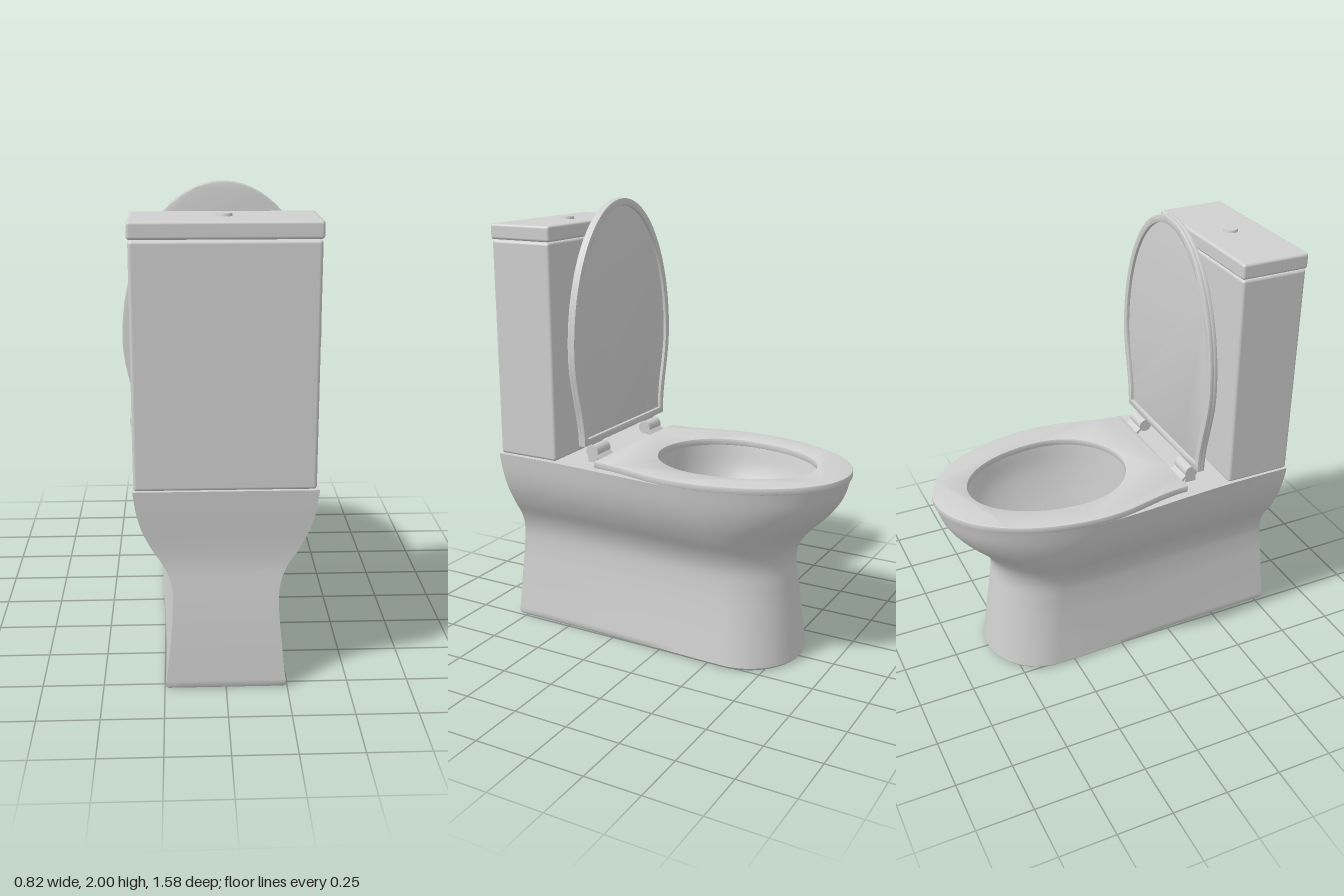
import * as THREE from 'three';
import { toCreasedNormals } from 'three/addons/utils/BufferGeometryUtils.js';
import { RoundedBoxGeometry } from 'three/addons/geometries/RoundedBoxGeometry.js';

const V = (x, z) => new THREE.Vector2(x, z);

// Plan outline in x/z: flat back, sides swelling to wm at zc, rounded nose at zf.
function planOutline(wb, wm, zb, zc, zf, ease = 1.4) {
  const half = [];
  for (let i = 1; i <= 4; i++) half.push(V(wb * i / 4, zb));
  for (let i = 1; i <= 14; i++) {
    const t = i / 14;
    const s = (1 - Math.cos(Math.PI * Math.pow(t, ease))) / 2;
    half.push(V(wb + (wm - wb) * s, zb + (zc - zb) * t));
  }
  for (let i = 1; i < 20; i++) {
    const a = i / 20 * Math.PI / 2;
    half.push(V(wm * Math.cos(a), zc + (zf - zc) * Math.sin(a)));
  }
  const mirrored = half.map(p => V(-p.x, p.y)).reverse();
  return [V(0, zb), ...half, V(0, zf), ...mirrored];
}

// Egg-shaped ring in x/z, widest at zc.
function eggOutline(rx, zc, zb, zf) {
  const pts = [];
  for (let i = 0; i < 56; i++) {
    const a = i / 56 * Math.PI * 2, c = Math.cos(a);
    pts.push(V(rx * Math.sin(a), zc + c * (c > 0 ? zb - zc : zc - zf)));
  }
  return pts;
}

// Smoothly interpolated rows of [y, ...outline parameters].
function smoothRows(rows, steps, outline) {
  const f = new THREE.CubicInterpolant(rows.map(r => r[0]), rows.flatMap(r => r.slice(1)), rows[0].length - 1);
  const y0 = rows[0][0], y1 = rows[rows.length - 1][0];
  return Array.from({ length: steps + 1 }, (_, i) => {
    const y = y0 + (y1 - y0) * i / steps;
    return { y, pts: outline(...f.evaluate(y)) };
  });
}

// Skin between stacked rings.
function loft(rings, crease) {
  const pos = [], idx = [], n = rings[0].pts.length;
  for (const r of rings) for (const p of r.pts) pos.push(p.x, r.y, p.y);
  for (let r = 0; r < rings.length - 1; r++) {
    for (let i = 0; i < n; i++) {
      const a = r * n + i, b = r * n + (i + 1) % n;
      idx.push(a, b, b + n, a, b + n, a + n);
    }
  }
  const g = new THREE.BufferGeometry();
  g.setAttribute('position', new THREE.Float32BufferAttribute(pos, 3));
  g.setIndex(idx);
  return toCreasedNormals(g, crease);
}

function shapeOf(pts, hole) {
  const s = new THREE.Shape(pts);
  if (hole) s.holes.push(new THREE.Path(hole));
  return s;
}

// Plate with softly bevelled edges, total thickness t, starting at z = 0.
function plate(shape, t, bevel = 0.005) {
  const g = new THREE.ExtrudeGeometry(shape, {
    depth: t - 2 * bevel, bevelEnabled: true, bevelThickness: bevel,
    bevelSize: bevel, bevelOffset: -bevel, bevelSegments: 2
  });
  g.translate(0, 0, bevel);
  return toCreasedNormals(g, 0.6);
}

export function createModel() {
  const model = new THREE.Group();
  model.name = 'toilet';
  const ceramic = new THREE.MeshStandardMaterial({ color: 0xd0d0d0 });
  ceramic.name = 'light grey ceramic';
  const add = (name, geo, x = 0, y = 0, z = 0) => {
    const m = new THREE.Mesh(geo, ceramic);
    m.name = name;
    m.position.set(x, y, z);
    model.add(m);
    return m;
  };
  const flipZ = pts => pts.map(p => V(p.x, -p.y));

  // Pedestal and bowl shell: y, back half width, max half width, back, widest z, nose
  const bodyRows = smoothRows([
    [0.012, 0.245, 0.27, 0.79, -0.33, -0.592],
    [0.2, 0.225, 0.247, 0.78, -0.31, -0.57],
    [0.36, 0.213, 0.234, 0.768, -0.29, -0.549],
    [0.45, 0.218, 0.238, 0.758, -0.27, -0.54],
    [0.52, 0.243, 0.265, 0.751, -0.25, -0.555],
    [0.6, 0.292, 0.317, 0.752, -0.22, -0.61],
    [0.68, 0.33, 0.36, 0.759, -0.19, -0.69],
    [0.76, 0.352, 0.388, 0.767, -0.17, -0.748],
    [0.855, 0.365, 0.408, 0.775, -0.15, -0.78]
  ], 40, planOutline);
  const foot = { y: 0, pts: planOutline(0.236, 0.26, 0.781, -0.33, -0.582) };
  add('pedestal', loft([foot, ...bodyRows], 0.8));
  const base = new THREE.ShapeGeometry(shapeOf(foot.pts));
  add('pedestalBase', base.rotateX(Math.PI / 2));

  // Deck with the bowl opening
  const opening = eggOutline(0.285, -0.2, 0.11, -0.635);
  const deck = new THREE.ShapeGeometry(shapeOf(flipZ(bodyRows[40].pts), flipZ(opening)));
  add('deck', deck.rotateX(-Math.PI / 2), 0, 0.855);

  // Bowl interior, narrowing towards the back
  const bowlRows = smoothRows([
    [0.365, 0.001, 0.03, 0.031, 0.029],
    [0.375, 0.05, 0.03, 0.065, -0.01],
    [0.4, 0.085, 0.02, 0.09, -0.07],
    [0.46, 0.115, 0, 0.1, -0.17],
    [0.55, 0.17, -0.07, 0.105, -0.36],
    [0.65, 0.225, -0.13, 0.106, -0.5],
    [0.75, 0.265, -0.18, 0.108, -0.59],
    [0.855, 0.285, -0.2, 0.11, -0.635]
  ], 36, eggOutline).reverse();
  add('bowlInterior', loft(bowlRows, 1.2));

  // Seat ring
  const seatPts = planOutline(0.345, 0.41, 0.27, -0.15, -0.785, 1);
  const seat = plate(shapeOf(flipZ(seatPts), flipZ(eggOutline(0.277, -0.2, 0.105, -0.627))), 0.032);
  add('seat', seat.rotateX(-Math.PI / 2), 0, 0.854);

  // Raised lid: panel with a rim on the side that closes onto the seat
  const lidPts = seatPts.map(p => V(p.x, 1.215 - p.y));
  const rimHole = planOutline(0.318, 0.38, 0.24, -0.15, -0.753, 1).map(p => V(p.x, 1.215 - p.y));
  add('lidPanel', plate(shapeOf(lidPts), 0.022), 0, 0, 0.328);
  add('lidRim', plate(shapeOf(lidPts, rimHole), 0.018, 0.003), 0, 0, 0.314);

  // Hinges
  for (const s of [-1, 1]) {
    const barrel = new THREE.CylinderGeometry(0.03, 0.03, 0.105, 24).rotateZ(Math.PI / 2);
    add('hingeBarrel', barrel, s * 0.228, 0.905, 0.322);
    add('hingeFoot', new THREE.BoxGeometry(0.045, 0.05, 0.05), s * 0.253, 0.878, 0.322);
    const tab = add('hingeTab', new THREE.BoxGeometry(0.105, 0.012, 0.055), s * 0.228, 0.89, 0.297);
    tab.rotation.x = -0.75;
    add('lidTab', new THREE.BoxGeometry(0.09, 0.06, 0.018), s * 0.228, 0.93, 0.335);
  }

  // Cistern, cover and flush button
  add('cistern', new RoundedBoxGeometry(0.715, 0.972, 0.302, 3, 0.014), -0.004, 1.342, 0.621);
  add('cisternCover', new RoundedBoxGeometry(0.724, 0.068, 0.31, 3, 0.012), -0.004, 1.864, 0.62);
  add('flushButton', new THREE.CylinderGeometry(0.03, 0.033, 0.014, 32), -0.004, 1.902, 0.616);
  return model;
}
